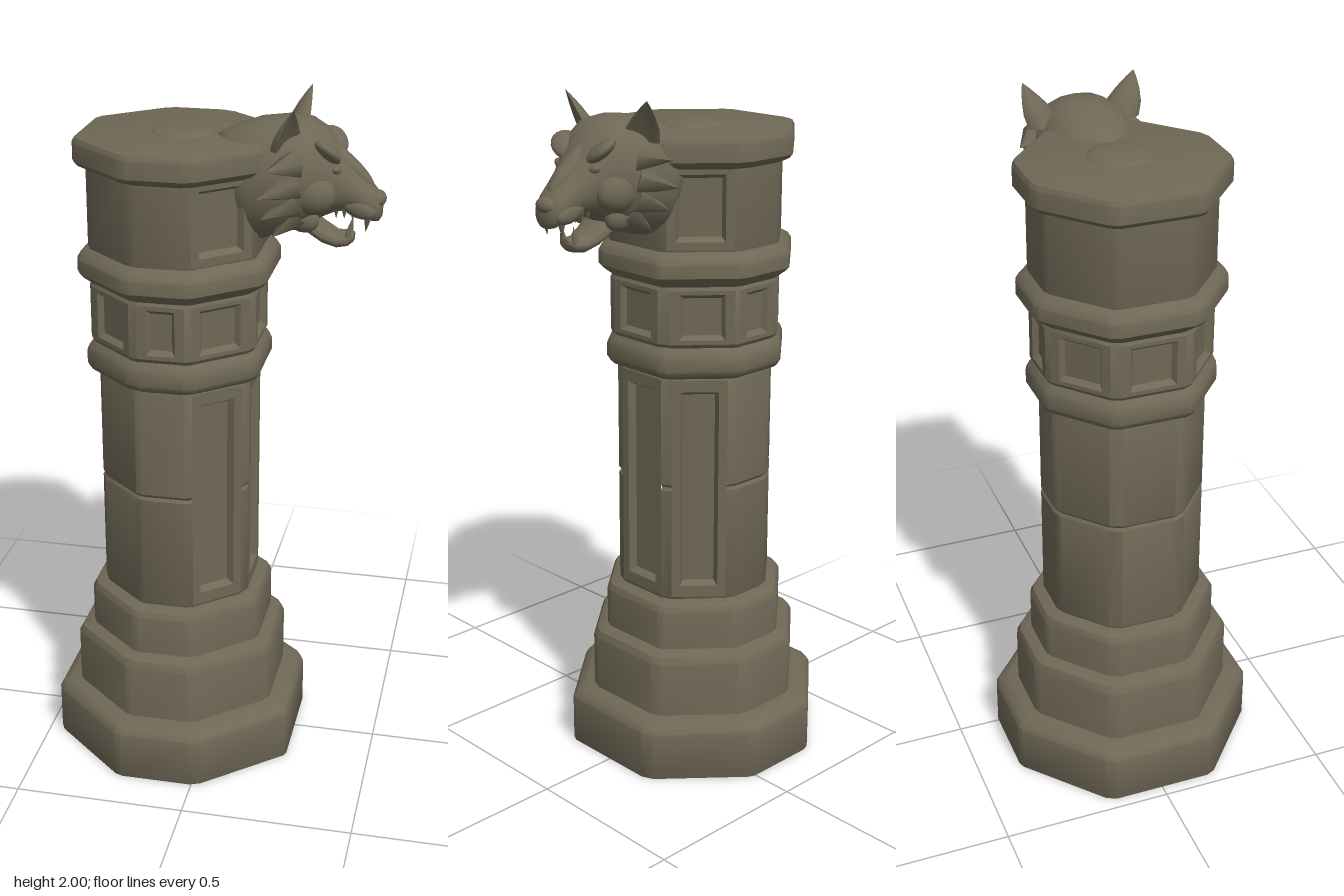
import * as THREE from 'three';
import { toCreasedNormals } from 'three/addons/utils/BufferGeometryUtils.js';

const V = (x, y, z) => new THREE.Vector3(x, y, z);
const AXIS_X = -0.107; // column centre

// small seeded random for worn corners
let seed = 7;
const rand = () => (seed = (seed * 16807) % 2147483647) / 2147483647;

// skin closed loops of points, optionally capping both ends
function loft(rings, { start = true, end = true, skip = () => false, crease = 0.6 } = {}) {
  const pos = [];
  const tri = (...pts) => pts.forEach(p => pos.push(p.x, p.y, p.z));
  const n = rings[0].length;
  for (let r = 0; r < rings.length - 1; r++) {
    for (let i = 0; i < n; i++) {
      if (skip(r, i)) continue;
      const j = (i + 1) % n, P = rings[r], Q = rings[r + 1];
      tri(P[i], P[j], Q[j]);
      tri(P[i], Q[j], Q[i]);
    }
  }
  const cap = (ring, flip) => {
    const c = ring.reduce((s, p) => s.add(p), V(0, 0, 0)).divideScalar(n);
    ring.forEach((p, i) => {
      const q = ring[(i + 1) % n];
      flip ? tri(c, q, p) : tri(c, p, q);
    });
  };
  if (start) cap(rings[0], true);
  if (end) cap(rings[rings.length - 1], false);
  const g = new THREE.BufferGeometry();
  g.setAttribute('position', new THREE.Float32BufferAttribute(pos, 3));
  return toCreasedNormals(g, crease);
}

// octagon plan with half-width 0.36; face 0 looks along +x
const PLAN = [[0.36, 0.165], [0.36, -0.165], [0.12, -0.375], [-0.12, -0.375],
  [-0.36, -0.165], [-0.36, 0.165], [-0.12, 0.375], [0.12, 0.375]];

// octagon ring with cut corners: even sides are faces, odd sides are corners
function octagon(y, half, cuts) {
  const s = half / 0.36, pts = [];
  const corners = PLAN.map(([x, z]) => V(AXIS_X + x * s, y, z * s));
  corners.forEach((a, i) => {
    const b = corners[(i + 1) % 8];
    const u = b.clone().sub(a).normalize();
    pts.push(a.clone().addScaledVector(u, cuts[i]), b.clone().addScaledVector(u, -cuts[(i + 1) % 8]));
  });
  return pts;
}

export function createModel() {
  const model = new THREE.Group();
  model.name = 'guardianColumn';
  const stone = new THREE.MeshStandardMaterial({ color: 0x6f6856 });
  stone.name = 'weatheredStone';

  function add(parent, name, geometry) {
    const m = new THREE.Mesh(geometry, stone);
    m.name = name;
    parent.add(m);
    return m;
  }

  // one tier of the column; panel = {faces, from, to, mx, my, depth}
  function tier(name, profile, panel) {
    const cuts = PLAN.map(() => 0.008 + 0.014 * rand());
    const rings = profile.map(([y, half]) => octagon(y, half, cuts));
    const skip = (r, i) => !!panel && i % 2 === 0 && panel.faces.includes(i / 2) && r >= panel.from && r < panel.to;
    const group = new THREE.Group();
    group.name = name;
    model.add(group);
    add(group, name + 'Body', loft(rings, { skip }));
    if (!panel) return;
    for (const f of panel.faces) {
      const lo = rings[panel.from], hi = rings[panel.to];
      const a = lo[2 * f], b = lo[2 * f + 1], top = hi[0].y;
      const u = b.clone().sub(a).normalize(), n = u.clone().cross(V(0, 1, 0));
      const rect = (mx, my, d) => [[a, mx, a.y + my], [b, -mx, a.y + my], [b, -mx, top - my], [a, mx, top - my]]
        .map(([p, m, y]) => p.clone().addScaledVector(u, m).addScaledVector(n, -d).setY(y));
      const { mx, my, depth } = panel;
      add(group, 'recessedPanel', loft([rect(0, 0, 0), rect(mx, my, 0), rect(mx + 0.01, my + 0.012, depth)],
        { start: false, crease: 0.2 }));
    }
  }

  // stepped foot
  tier('base', [[0, 0.358], [0.005, 0.36], [0.148, 0.36], [0.165, 0.35], [0.178, 0.325], [0.18, 0.28]]);
  tier('middleStep', [[0.165, 0.298], [0.345, 0.298], [0.365, 0.288], [0.378, 0.262], [0.379, 0.24]]);
  tier('upperStep', [[0.37, 0.257], [0.495, 0.257], [0.512, 0.248], [0.522, 0.225], [0.523, 0.2]]);

  // shaft with panels on the three forward-facing sides and a block joint
  tier('shaft', [[0.515, 0.213], [0.53, 0.22], [0.865, 0.22], [0.874, 0.214], [0.883, 0.22], [1.2, 0.22], [1.22, 0.21]],
    { faces: [0, 1, 7], from: 1, to: 5, mx: 0.025, my: 0.035, depth: 0.022 });

  // mouldings and panelled band
  tier('lowerRing', [[1.205, 0.22], [1.215, 0.24], [1.232, 0.25], [1.268, 0.25], [1.285, 0.243], [1.305, 0.225]]);
  tier('band', [[1.29, 0.225], [1.31, 0.238], [1.465, 0.238], [1.49, 0.225]],
    { faces: [0, 1, 2, 3, 4, 5, 6, 7], from: 1, to: 2, mx: 0.027, my: 0.012, depth: 0.016 });
  tier('upperRing', [[1.475, 0.235], [1.493, 0.258], [1.507, 0.27], [1.545, 0.27], [1.562, 0.26], [1.58, 0.23]]);

  // head block and cap
  tier('topBlock', [[1.56, 0.234], [1.58, 0.24], [1.81, 0.24], [1.83, 0.24]],
    { faces: [1, 7], from: 1, to: 2, mx: 0.025, my: 0.022, depth: 0.02 });
  tier('cap', [[1.8, 0.235], [1.812, 0.262], [1.825, 0.272], [1.875, 0.272], [1.888, 0.265], [1.892, 0.25]]);
  const boss = add(model, 'capBoss', new THREE.SphereGeometry(0.09, 32, 16));
  boss.scale.y = 0.17;
  boss.position.set(-0.09, 1.89, 0);

  // beast head projecting along +x
  const head = new THREE.Group();
  head.name = 'beastHead';
  model.add(head);

  // oval loops along x from rows [x, top, bottom, halfWidth]
  const ovals = rows => rows.map(([x, top, bottom, w]) => Array.from({ length: 24 }, (_, k) => {
    const a = (k / 24) * Math.PI * 2, c = Math.cos(a), s = -Math.sin(a);
    return V(x, (top + bottom) / 2 + s * (top - bottom) / 2, w * Math.sign(c) * Math.abs(c) ** 0.85);
  }));
  add(head, 'skullAndMuzzle', loft(ovals([
    [0.0, 1.89, 1.72, 0.07], [0.05, 1.915, 1.66, 0.125], [0.12, 1.94, 1.605, 0.15], [0.2, 1.95, 1.63, 0.155],
    [0.26, 1.945, 1.655, 0.142], [0.3, 1.922, 1.68, 0.118], [0.335, 1.875, 1.695, 0.09], [0.37, 1.832, 1.7, 0.068],
    [0.405, 1.797, 1.69, 0.058], [0.435, 1.77, 1.672, 0.05], [0.452, 1.75, 1.672, 0.04], [0.46, 1.73, 1.685, 0.02],
  ]), { crease: 1.1 }));
  add(head, 'lowerJaw', loft(ovals([
    [0.2, 1.7, 1.64, 0.075], [0.26, 1.69, 1.635, 0.066], [0.3, 1.66, 1.605, 0.054], [0.34, 1.637, 1.592, 0.044],
    [0.37, 1.637, 1.597, 0.036], [0.386, 1.635, 1.61, 0.02],
  ]), { crease: 1.1 }));

  // ellipsoid lump, turned about x and z
  function lump(name, p, r, rx = 0, rz = 0) {
    const m = add(head, name, new THREE.SphereGeometry(1, 20, 14));
    m.position.set(...p);
    m.scale.set(...r);
    m.rotation.set(rx, 0, rz);
  }
  // cone between two points
  function spike(name, base, tip, radius, sides = 8) {
    const a = V(...base), d = V(...tip).sub(a);
    const m = add(head, name, new THREE.ConeGeometry(radius, d.length(), sides));
    m.position.copy(a).addScaledVector(d, 0.5);
    m.quaternion.setFromUnitVectors(V(0, 1, 0), d.normalize());
  }

  lump('nose', [0.447, 1.735, 0], [0.024, 0.022, 0.034], 0, -0.5);
  lump('noseBridge', [0.36, 1.83, 0], [0.1, 0.022, 0.03], 0, -0.72);

  for (const s of [1, -1]) {
    lump('brow', [0.312, 1.868, s * 0.064], [0.044, 0.02, 0.056], -s * 0.5, -0.5);
    lump('eye', [0.337, 1.823, s * 0.068], [0.016, 0.013, 0.02], -s * 0.4);
    lump('cheek', [0.27, 1.765, s * 0.088], [0.075, 0.06, 0.05], 0, -0.3);
    lump('lip', [0.4, 1.715, s * 0.042], [0.05, 0.027, 0.02], 0, -0.35);
    lump('jawMuscle', [0.25, 1.69, s * 0.07], [0.05, 0.04, 0.035], 0, -0.5);

    // fur tufts swept outward and back
    const tufts = [[1.85, 0.125, 0.17, 1.842, 0.195], [1.79, 0.125, 0.145, 1.765, 0.19],
      [1.74, 0.115, 0.15, 1.7, 0.158], [1.7, 0.085, 0.175, 1.64, 0.115]];
    tufts.forEach(([by, bz, tx, ty, tz]) => spike('furTuft', [0.235, by, s * bz], [tx, ty, s * tz], 0.042, 6));

    // teeth
    spike('upperFang', [0.425, 1.69, s * 0.033], [0.42, 1.645, s * 0.031], 0.011);
    spike('lowerFang', [0.37, 1.625, s * 0.024], [0.378, 1.672, s * 0.026], 0.01);
    for (let i = 0; i < 3; i++) {
      spike('tooth', [0.34 + i * 0.022, 1.71, s * 0.043], [0.34 + i * 0.022, 1.683, s * 0.042], 0.008, 6);
    }

    // pointed ear: crescent sections shrinking to the tip, open toward the face
    const earRings = [[0, 1], [0.3, 0.9], [0.6, 0.6], [0.85, 0.26], [1, 0.02]].map(([t, k]) => {
      const c = V(0.215 + 0.022 * t, 1.885 + 0.115 * t, s * (0.112 + 0.05 * t));
      const pts = [];
      for (let i = 0; i <= 8; i++) { // rounded back
        const a = (i / 8) * Math.PI;
        pts.push([-Math.sin(a) * 0.042, Math.cos(a) * 0.055]);
      }
      for (let i = 1; i < 8; i++) { // hollow front
        const a = (i / 8) * Math.PI;
        pts.push([-Math.sin(a) * 0.02 + 0.006, -Math.cos(a) * 0.045]);
      }
      const turn = -s * 0.45;
      const loop = pts.map(([x, z]) => V(
        c.x + k * (x * Math.cos(turn) + z * Math.sin(turn)), c.y,
        c.z + k * (-x * Math.sin(turn) + z * Math.cos(turn))));
      return loop.reverse();
    });
    add(head, 'ear', loft(earRings, { crease: 0.9 }));
  }
  return model;
}
